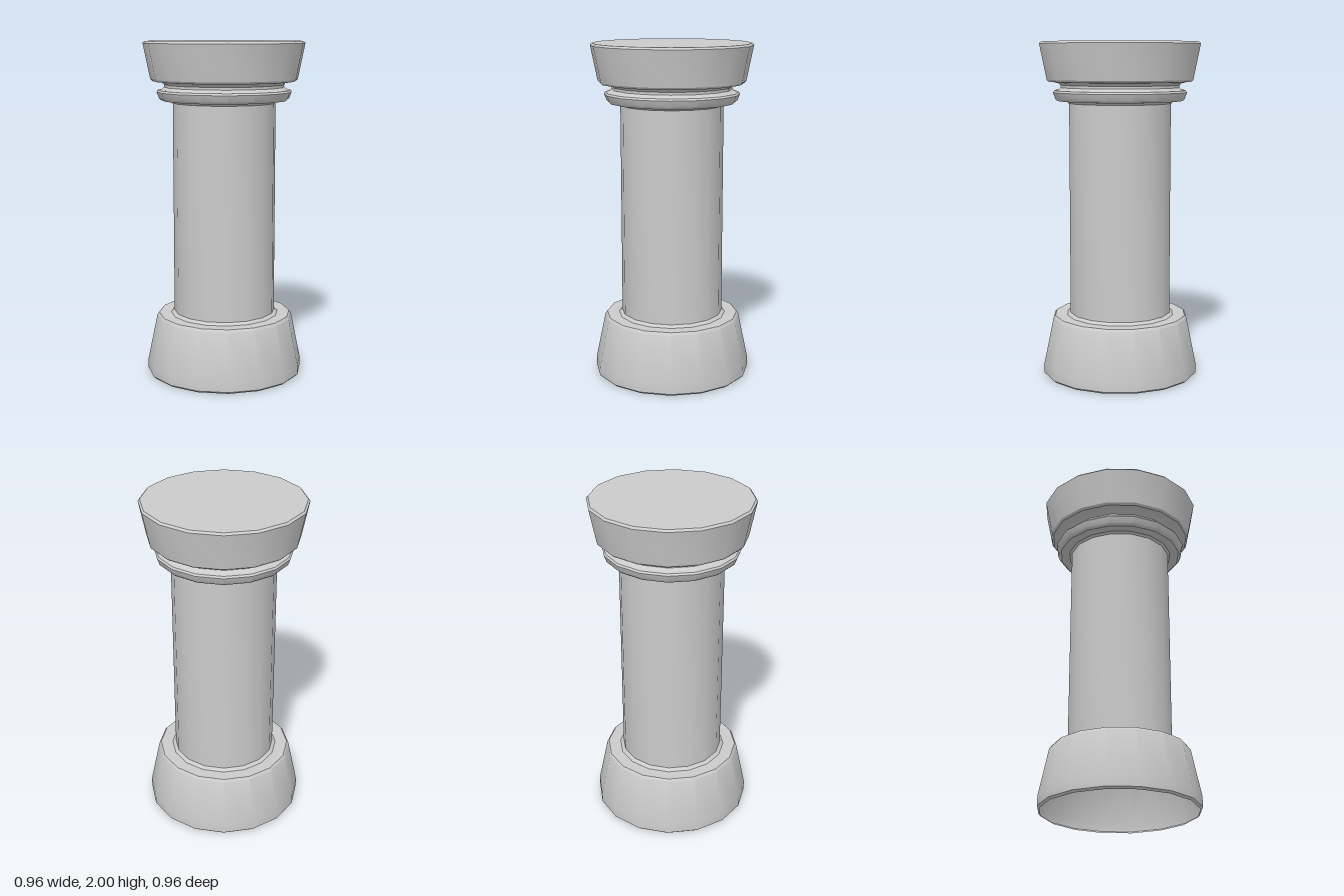
import * as THREE from 'three';
import { toCreasedNormals } from 'three/addons/utils/BufferGeometryUtils.js';

const SIDES = 16;

export function createModel() {
  const column = new THREE.Group();
  column.name = 'column';
  // Open, hollow shells, so both faces show
  const material = new THREE.MeshStandardMaterial({ color: 0xcccccc, side: THREE.DoubleSide });

  // Turns a [radius, height] profile, listed bottom to top, into a 16-sided part
  function turned(name, profile) {
    const points = profile.map(([r, y]) => new THREE.Vector2(r, y));
    const geometry = toCreasedNormals(new THREE.LatheGeometry(points, SIDES), 0.55);
    const mesh = new THREE.Mesh(geometry, material);
    mesh.name = name;
    column.add(mesh);
  }

  // Flared foot, open underneath, with a ledge up to the shaft
  turned('base', [
    [0.455, 0], [0.468, 0.012], [0.468, 0.07], [0.41, 0.35],
    [0.398, 0.365], [0.325, 0.365], [0.305, 0.38],
  ]);

  turned('shaft', [[0.305, 0.38], [0.305, 1.64]]);

  // Collar ring under the groove
  turned('collar', [
    [0.305, 1.64], [0.318, 1.652], [0.372, 1.655], [0.386, 1.667],
    [0.4, 1.705], [0.392, 1.716],
  ]);

  // Concave groove between collar and capital
  turned('groove', [
    [0.392, 1.716], [0.368, 1.721], [0.355, 1.733], [0.355, 1.748],
    [0.368, 1.759], [0.398, 1.766],
  ]);

  // Flared capital with a closed flat top
  turned('capital', [
    [0.398, 1.766], [0.424, 1.768], [0.436, 1.78],
    [0.478, 1.988], [0.467, 2], [0, 2],
  ]);

  return column;
}
